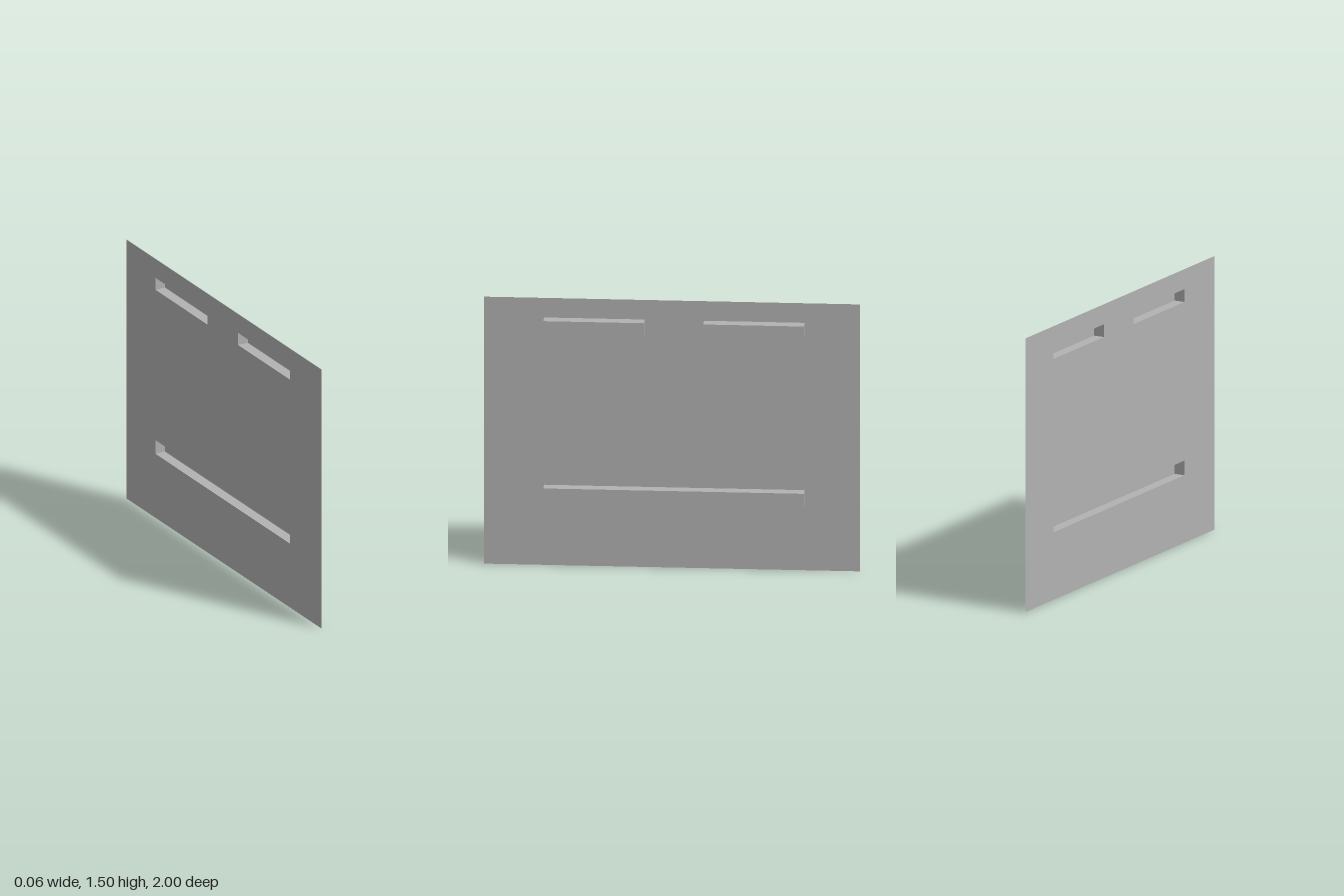
import * as THREE from 'three';

const HALF_DEPTH = 0.03;

// Raised pockets: z range and y range
const POCKETS = [
  { name: 'upperFrontPocket', z: [0.145, 0.68], y: [1.32, 1.39] },
  { name: 'upperBackPocket', z: [-0.705, -0.17], y: [1.32, 1.39] },
  { name: 'lowerPocket', z: [-0.705, 0.68], y: [0.37, 0.45] },
];

// Rectangle outline in the sheet's plane, drawn with -z to the right
function rectangle(path, [z0, z1], [y0, y1]) {
  path.moveTo(-z1, y0);
  path.lineTo(-z0, y0);
  path.lineTo(-z0, y1);
  path.lineTo(-z1, y1);
  path.closePath();
  return path;
}

export function createModel() {
  const model = new THREE.Group();
  model.name = 'pocketedPanel';
  const grey = new THREE.MeshStandardMaterial({ color: 0xb2b2b2, side: THREE.DoubleSide });
  grey.name = 'grey';

  // Thin sheet with an opening behind each pocket
  const outline = rectangle(new THREE.Shape(), [-1, 1], [0, 1.5]);
  for (const { z, y } of POCKETS) outline.holes.push(rectangle(new THREE.Path(), z, y));
  const sheet = new THREE.Mesh(new THREE.ShapeGeometry(outline).rotateY(Math.PI / 2), grey);
  sheet.name = 'sheet';
  sheet.position.x = -HALF_DEPTH;
  model.add(sheet);

  // Hollow pockets, open on the -x side
  for (const { name, z, y } of POCKETS) {
    const box = new THREE.BoxGeometry(2 * HALF_DEPTH, y[1] - y[0], z[1] - z[0]);
    const faces = Array.from(box.index.array);
    faces.splice(6, 6); // drop the -x face
    box.setIndex(faces);
    box.clearGroups();
    const pocket = new THREE.Mesh(box, grey);
    pocket.name = name;
    pocket.position.set(0, (y[0] + y[1]) / 2, (z[0] + z[1]) / 2);
    model.add(pocket);
  }
  return model;
}
